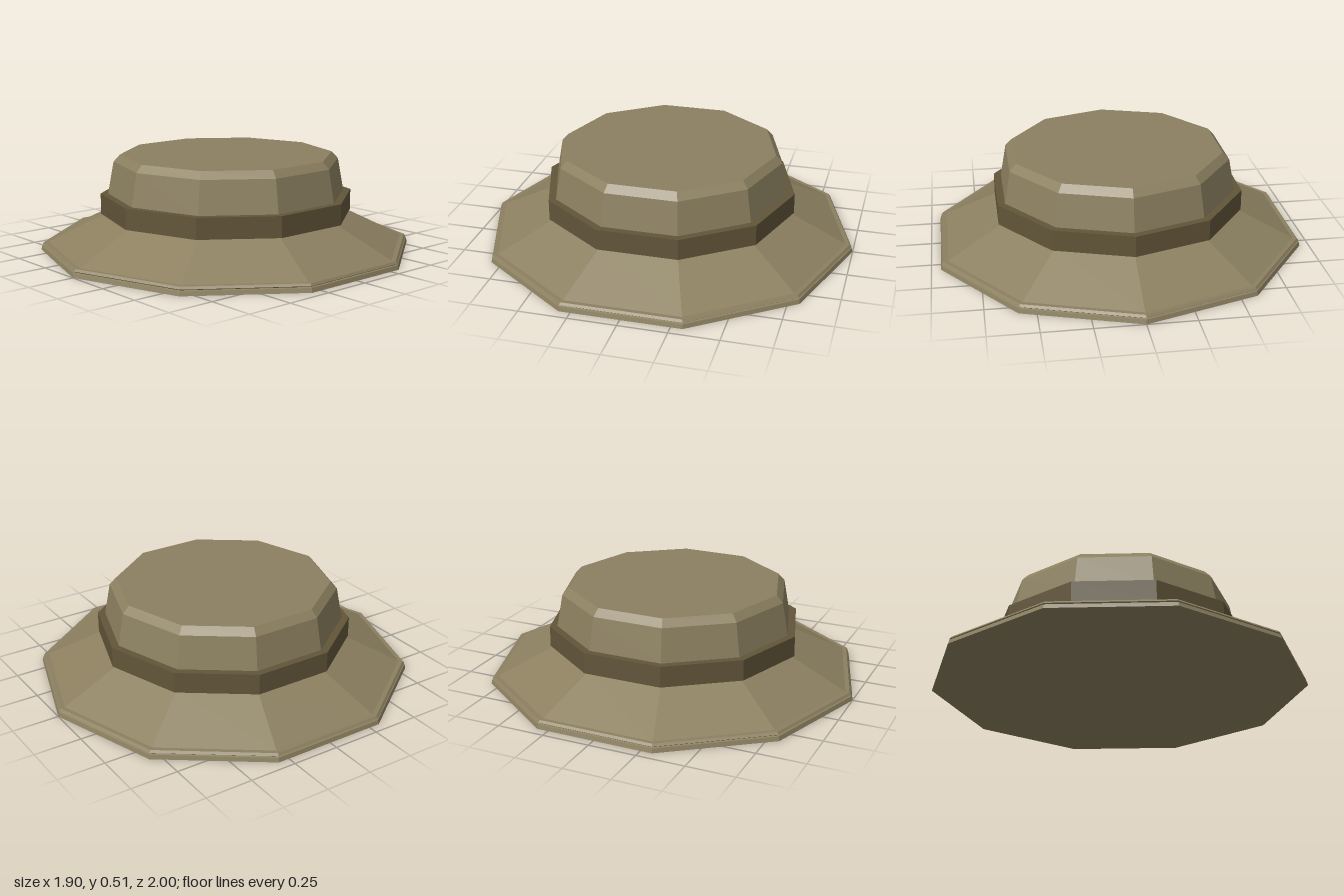
import * as THREE from 'three';

const SIDES = 10;

export function createModel() {
  const model = new THREE.Group();
  model.name = 'hat';

  const felt = new THREE.MeshStandardMaterial({ color: 0x8c8060, flatShading: true });
  const ribbon = new THREE.MeshStandardMaterial({ color: 0x625539, flatShading: true });

  // Ten-sided ring or solid turned from [radius, height] points, bottom to top
  function turned(name, material, profile) {
    const points = profile.map(([r, y]) => new THREE.Vector2(r, y));
    const mesh = new THREE.Mesh(new THREE.LatheGeometry(points, SIDES), material);
    mesh.name = name;
    model.add(mesh);
  }

  // Flat-bottomed sloping brim with a thin grooved lip at its edge
  turned('brim', felt, [
    [0, 0], [1, 0], [0.994, 0.022], [0.985, 0.025], [0.992, 0.03],
    [0.983, 0.042], [0.96, 0.042], [0.655, 0.19], [0.6, 0.19],
  ]);

  // Band around the foot of the crown
  turned('band', ribbon, [
    [0.6, 0.19], [0.677, 0.19], [0.677, 0.3], [0.6, 0.3],
  ]);

  // Tapered crown with a bevelled flat top
  turned('crown', felt, [
    [0.638, 0.295], [0.605, 0.472], [0.57, 0.51], [0, 0.51],
  ]);

  return model;
}
